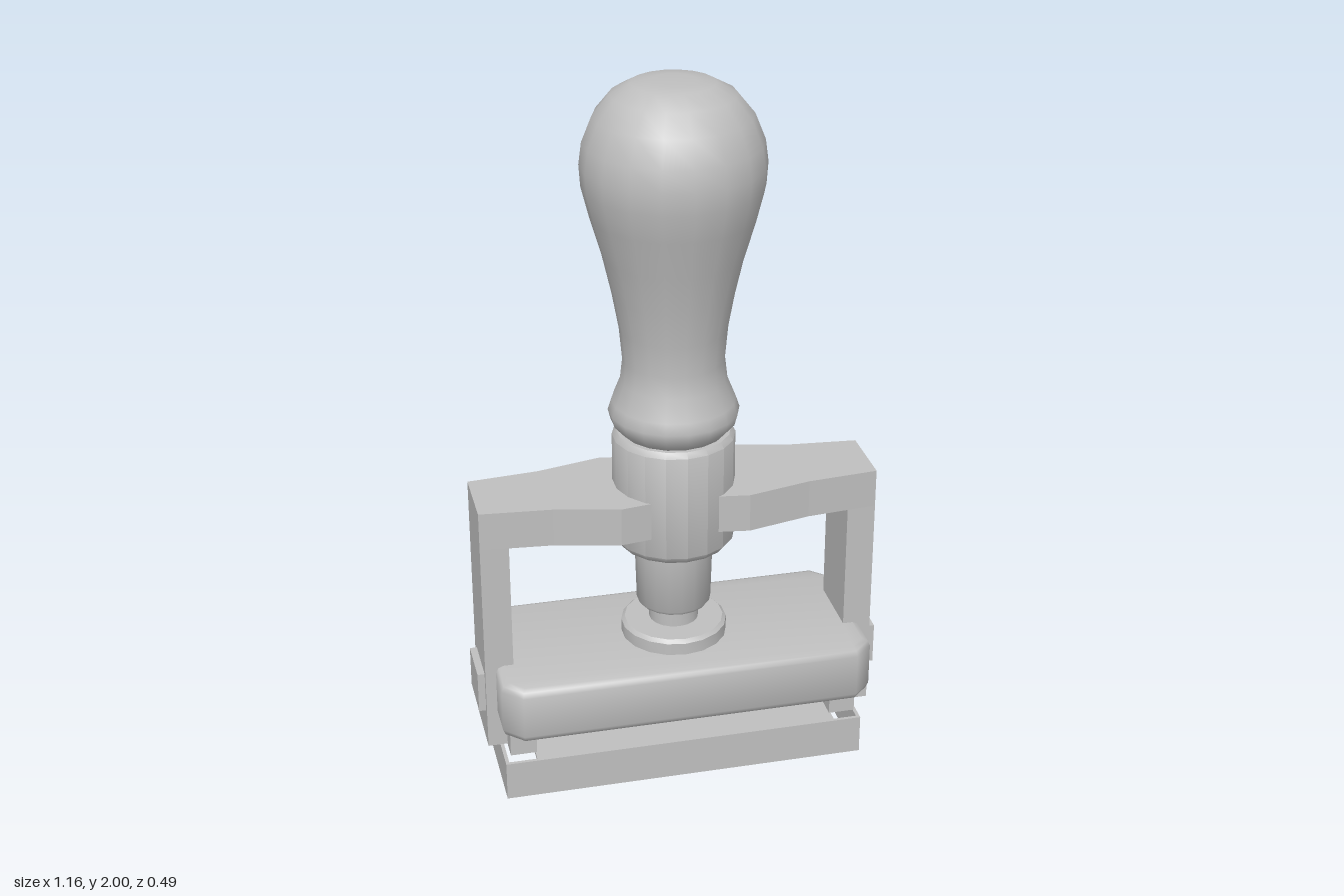
import * as THREE from 'three';
import { toCreasedNormals } from 'three/addons/utils/BufferGeometryUtils.js';

export function createModel() {
  const model = new THREE.Group();
  const metal = new THREE.MeshStandardMaterial({ color: 0xbfbfbf });
  metal.name = 'plain grey';

  const add = (name, geometry) => {
    const mesh = new THREE.Mesh(geometry, metal);
    mesh.name = name;
    model.add(mesh);
    return mesh;
  };
  // Box given by its limits on each axis
  const box = (name, x0, x1, y0, y1, z0, z1) => {
    const g = new THREE.BoxGeometry(x1 - x0, y1 - y0, z1 - z0);
    g.translate((x0 + x1) / 2, (y0 + y1) / 2, (z0 + z1) / 2);
    return add(name, g);
  };
  // Turned part from [radius, height] pairs, bottom to top
  const turned = (name, points, crease) => {
    const g = new THREE.LatheGeometry(points.map(([r, y]) => new THREE.Vector2(r, y)), 18);
    return add(name, toCreasedNormals(g, crease));
  };
  // Plan outline in x and z, raised from y0
  const plan = (points, y0, depth, bevel) => {
    const shape = new THREE.Shape(points.map(([x, z]) => new THREE.Vector2(x, -z)));
    const g = new THREE.ExtrudeGeometry(shape, {
      depth: depth - 2 * bevel, bevelEnabled: bevel > 0, bevelSize: bevel,
      bevelThickness: bevel, bevelOffset: -bevel, bevelSegments: 2,
    });
    g.rotateX(-Math.PI / 2).translate(0, y0 + bevel, 0);
    return g;
  };
  // Mirrors one quadrant, listed from +x end to the middle, into a closed outline
  const mirrored = (q) => [
    ...q.map(([x, z]) => [x, -z]), ...[...q].reverse().map(([x, z]) => [-x, -z]),
    ...q.map(([x, z]) => [-x, z]), ...[...q].reverse(),
  ];

  // Pear-shaped grip with a bead at its foot
  turned('handle', [
    [0, 1.02], [0.145, 1.02], [0.172, 1.05], [0.18, 1.08], [0.17, 1.11], [0.146, 1.17],
    [0.139, 1.23], [0.147, 1.32], [0.165, 1.42], [0.19, 1.53], [0.222, 1.64], [0.242, 1.72],
    [0.246, 1.78], [0.238, 1.84], [0.21, 1.91], [0.165, 1.965], [0.11, 1.995], [0.06, 2], [0, 2],
  ], 1.1);

  // Collar and plunger
  turned('collar', [[0, 0.665], [0.115, 0.665], [0.155, 0.68], [0.17, 0.7],
    [0.17, 1.005], [0.158, 1.02], [0, 1.02]], 0.7);
  turned('stem', [[0, 0.48], [0.098, 0.48], [0.105, 0.49], [0.11, 0.67], [0, 0.67]], 0.7);
  turned('rod', [[0, 0.41], [0.07, 0.41], [0.07, 0.485], [0, 0.485]], 0.7);
  turned('disc', [[0, 0.375], [0.15, 0.375], [0.15, 0.415], [0.14, 0.425], [0, 0.425]], 0.7);

  // Yoke that widens into the collar
  const arm = plan(mirrored([[0.56, 0.098], [0.36, 0.116], [0.18, 0.158], [0.09, 0.145]]), 0.755, 0.11, 0);
  arm.translate(0, 0, -0.007);
  add('crossbar', arm);
  for (const s of [-1, 1]) {
    const side = s < 0 ? 'right' : 'left';
    const span = (a, b) => (s > 0 ? [a, b] : [-b, -a]);
    box(side + 'Leg', ...span(0.48, 0.56), 0.12, 0.76, -0.105, 0.091);
    box(side + 'Pad', ...span(0.55, 0.58), 0.23, 0.35, -0.07, 0.075);
    box(side + 'Bracket', ...span(0.43, 0.505), 0.115, 0.22, -0.145, 0.145);
  }

  // Rounded body with clipped corners
  const body = plan(mirrored([[0.53, 0.19], [0.478, 0.24]]), 0.212, 0.168, 0.022);
  add('body', toCreasedNormals(body, 1.0));

  // Die holder, narrower towards the bottom
  const die = new THREE.BoxGeometry(0.87, 0.12, 0.26);
  const p = die.attributes.position;
  for (let i = 0; i < p.count; i++) if (p.getY(i) < 0) p.setZ(i, p.getZ(i) * 0.6);
  die.computeVertexNormals();
  die.translate(0, 0.165, 0);
  add('dieHolder', die);

  // Hollow base: thin walls under a lid that is open at both ends
  const [x0, x1, z0, z1, t] = [-0.525, 0.512, -0.2, 0.187, 0.01];
  box('baseFront', x0, x1, 0, 0.115, z1 - t, z1);
  box('baseBack', x0, x1, 0, 0.115, z0, z0 + t);
  box('baseRightEnd', x0, x0 + t, 0, 0.115, z0 + t, z1 - t);
  box('baseLeftEnd', x1 - t, x1, 0, 0.115, z0 + t, z1 - t);
  box('baseLid', -0.435, 0.435, 0.105, 0.115, z0 + t, z1 - t);

  return model;
}
